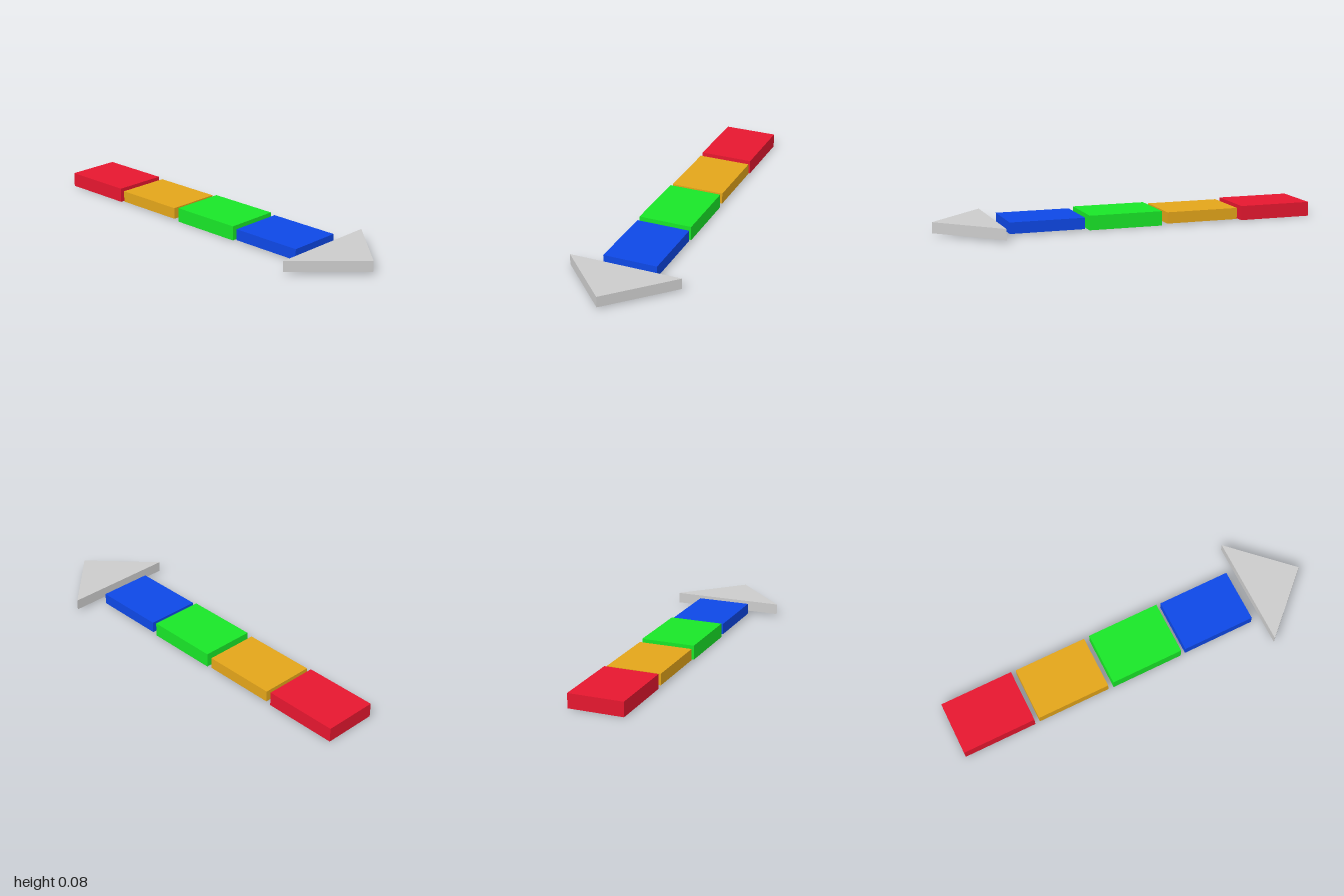
import * as THREE from 'three';

const MID_Y = 0.0375;

export function createModel() {
  const model = new THREE.Group();

  // Row of shaft blocks: name, colour, centre x, height
  const blocks = [
    ['redBlock', 0xe6172f, -0.805, 0.075],
    ['amberBlock', 0xe3a51a, -0.389, 0.059],
    ['greenBlock', 0x19e628, 0.031, 0.075],
    ['blueBlock', 0x0e48e6, 0.446, 0.058],
  ];
  for (const [name, color, x, height] of blocks) {
    const block = new THREE.Mesh(
      new THREE.BoxGeometry(0.39, height, 0.285),
      new THREE.MeshStandardMaterial({ color })
    );
    block.name = name;
    block.position.set(x, MID_Y, 0);
    model.add(block);
  }

  // Triangular arrow head, extruded upwards
  const depth = 0.056;
  const outline = new THREE.Shape([
    new THREE.Vector2(0.695, -0.295),
    new THREE.Vector2(1, 0),
    new THREE.Vector2(0.695, 0.295),
  ]);
  const headGeometry = new THREE.ExtrudeGeometry(outline, { depth, bevelEnabled: false });
  headGeometry.rotateX(-Math.PI / 2);
  const head = new THREE.Mesh(headGeometry, new THREE.MeshStandardMaterial({ color: 0xcccccc }));
  head.name = 'arrowHead';
  head.position.y = MID_Y - depth / 2;
  model.add(head);

  return model;
}
